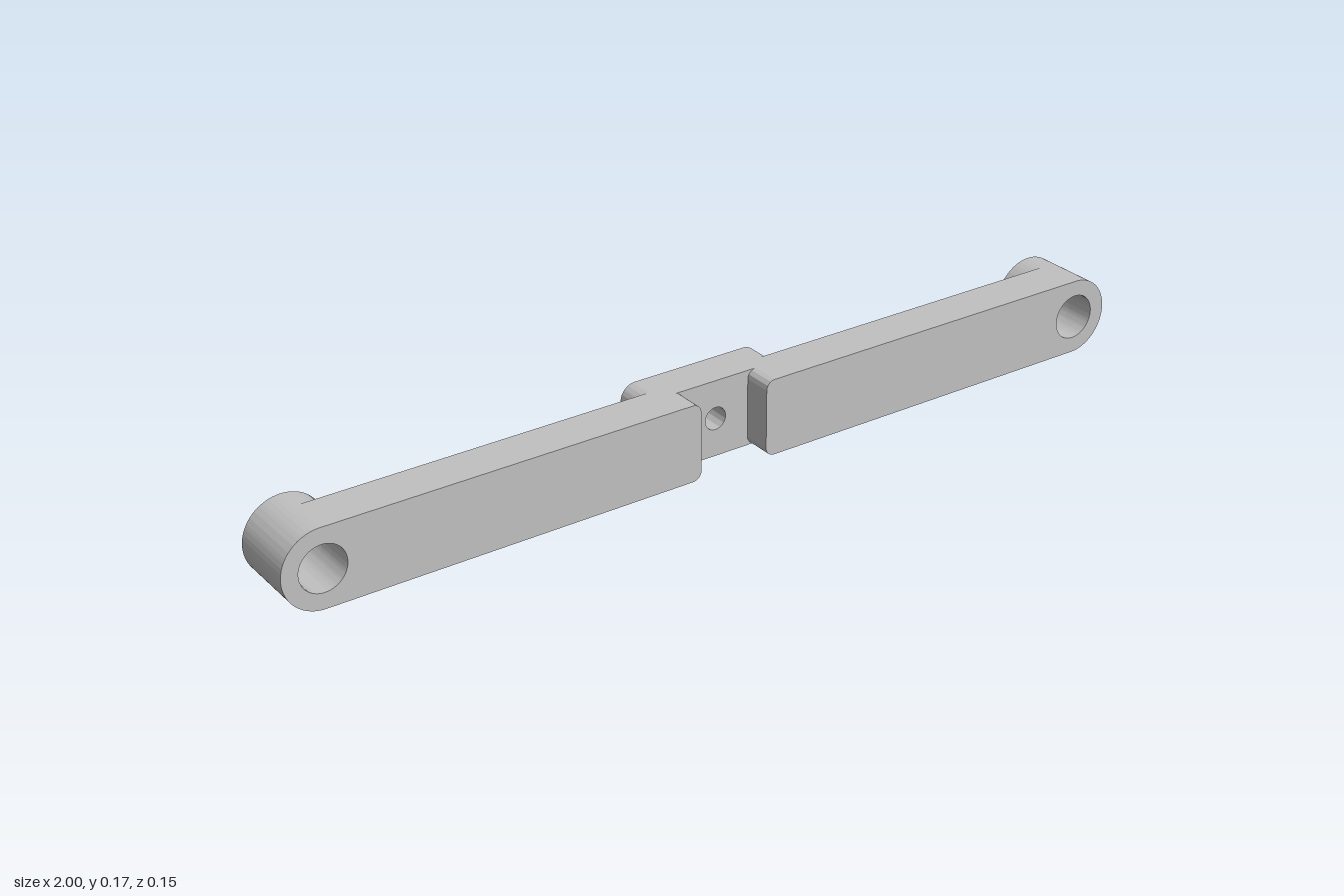
import * as THREE from 'three';
import { toCreasedNormals } from 'three/addons/utils/BufferGeometryUtils.js';

const R = 0.085;          // half the bar height, also the boss radius
const END = 1 - R;        // x of the end pivots
const Z = { back: -0.077, barBack: -0.021, notch: 0.013, front: 0.077 };

// Outline from x0 to x1 with separate corner radii at each end, height 0..2R
function barShape(x0, x1, r0, r1) {
  const s = new THREE.Shape(), h = 2 * R;
  s.moveTo(x0 + r0, 0);
  s.lineTo(x1 - r1, 0);
  s.absarc(x1 - r1, r1, r1, -Math.PI / 2, 0, false);
  s.absarc(x1 - r1, h - r1, r1, 0, Math.PI / 2, false);
  s.lineTo(x0 + r0, h);
  s.absarc(x0 + r0, h - r0, r0, Math.PI / 2, Math.PI, false);
  s.absarc(x0 + r0, r0, r0, Math.PI, Math.PI * 1.5, false);
  return s;
}

function drill(shape, x, r) {
  const hole = new THREE.Path();
  hole.absarc(x, R, r, 0, Math.PI * 2, true);
  shape.holes.push(hole);
  return shape;
}

function slab(name, shape, z0, z1, material) {
  const geo = new THREE.ExtrudeGeometry(shape, { depth: z1 - z0, bevelEnabled: false, curveSegments: 32 });
  geo.translate(0, 0, z0);
  const mesh = new THREE.Mesh(toCreasedNormals(geo, 0.6), material);
  mesh.name = name;
  return mesh;
}

export function createModel() {
  const group = new THREE.Group();
  group.name = 'linkArm';
  const grey = new THREE.MeshStandardMaterial({ color: 0xc0c0c0 });
  grey.name = 'grey';

  // Continuous thin web with the end holes and the centre hole
  const web = barShape(-1, 1, R, R);
  [[-END, 0.05], [0, 0.025], [END, 0.05]].forEach(([x, r]) => drill(web, x, r));
  group.add(slab('web', web, Z.barBack, Z.notch, grey));

  // Rounded block behind the centre notch
  const block = drill(barShape(-0.168, 0.168, 0.035, 0.035), 0, 0.025);
  group.add(slab('centreBlock', block, Z.back, Z.barBack, grey));

  for (const [side, s] of [['left', 1], ['right', -1]]) {
    // Thick front of each arm, leaving the notch between them
    const arm = s > 0 ? barShape(0.08, 1, 0.02, R) : barShape(-1, -0.08, R, 0.02);
    group.add(slab(side + 'Arm', drill(arm, s * END, 0.05), Z.notch, Z.front, grey));

    // Rear pivot boss with a shallow counterbore
    const ring = (r) => drill(barShape(s * END - R, s * END + R, R, R), s * END, r);
    const lip = Z.back + 0.02;
    group.add(slab(side + 'Boss', ring(0.05), lip, Z.barBack, grey));
    group.add(slab(side + 'BossLip', ring(0.063), Z.back, lip, grey));
  }
  return group;
}
